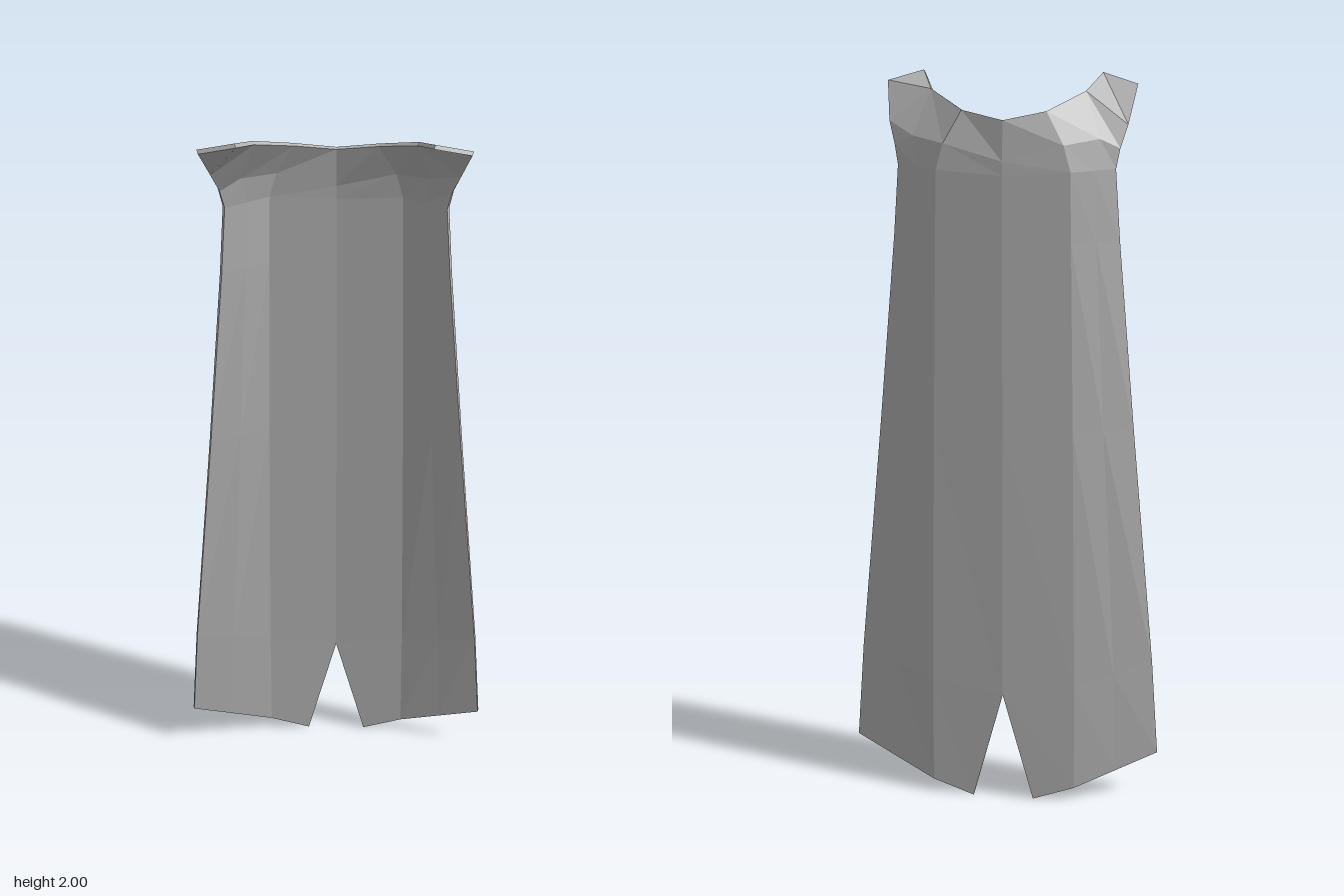
import * as THREE from 'three';

const THICKNESS = 0.011;

// Back surface of the +x half, bottom to top; each row runs centre, mid, shoulder, edge.
const ROWS = [
  [[0.085, 0, -0.104], [0.2, 0.04, -0.098], [0.315, 0.0875, -0.066], [0.43, 0.135, -0.034]],
  [[0, 0.33, -0.113], [0.197, 0.36, -0.1], [0.303, 0.39, -0.067], [0.407, 0.42, -0.034]],
  [[0, 1.1, -0.114], [0.183, 1.1, -0.101], [0.261, 1.1, -0.068], [0.338, 1.1, -0.034]],
  [[0, 1.6, -0.114], [0.172, 1.6, -0.102], [0.232, 1.6, -0.068], [0.29, 1.6, -0.034]],
  [[0, 1.77, -0.114], [0.168, 1.78, -0.102], [0.223, 1.78, -0.068], [0.276, 1.78, -0.034]],
  [[0, 1.805, -0.113], [0.15, 1.845, -0.098], [0.235, 1.855, -0.045], [0.285, 1.83, -0.025]],
  [[0, 1.905, -0.105], [0.105, 1.925, -0.08], [0.195, 1.965, 0.005], [0.302, 1.885, 0]],
  [null, null, [0.23, 2.0, 0.105], [0.32, 1.975, 0.083]], // strap end
];

function buildShell() {
  const points = [], lookup = new Map(), quads = [];
  const vertex = (p, side) => {
    const key = [p[0] * side || 0, p[1], p[2]].join();
    if (!lookup.has(key)) {
      lookup.set(key, points.length);
      points.push(new THREE.Vector3(p[0] * side, p[1], p[2]));
    }
    return lookup.get(key);
  };

  // Mirrored quads, wound so the back faces outward
  for (const side of [1, -1]) {
    for (let r = 0; r < ROWS.length - 1; r++) {
      for (let c = 0; c < 3; c++) {
        const corners = [ROWS[r][c], ROWS[r + 1][c], ROWS[r + 1][c + 1], ROWS[r][c + 1]];
        if (corners.some((p) => !p)) continue;
        const quad = corners.map((p) => vertex(p, side));
        quads.push(side > 0 ? quad : quad.reverse());
      }
    }
  }

  // Inner surface, offset along averaged normals
  const normals = points.map(() => new THREE.Vector3());
  for (const q of quads) {
    const d1 = points[q[2]].clone().sub(points[q[0]]);
    const d2 = points[q[3]].clone().sub(points[q[1]]);
    const n = d1.cross(d2).normalize();
    q.forEach((i) => normals[i].add(n));
  }
  const inner = points.map((p, i) => p.clone().addScaledVector(normals[i].normalize(), -THICKNESS));

  const positions = [];
  const addQuad = (a, b, c, d) => {
    for (const v of [a, b, c, a, c, d]) positions.push(v.x, v.y, v.z);
  };
  const edges = new Set();
  for (const q of quads) {
    addQuad(...q.map((i) => points[i]));
    addQuad(...[q[0], q[3], q[2], q[1]].map((i) => inner[i]));
    q.forEach((i, k) => edges.add(`${i}_${q[(k + 1) % 4]}`));
  }

  // Rim closes every open border edge
  for (const edge of edges) {
    const [a, b] = edge.split('_').map(Number);
    if (!edges.has(`${b}_${a}`)) addQuad(points[b], points[a], inner[a], inner[b]);
  }

  const geometry = new THREE.BufferGeometry();
  geometry.setAttribute('position', new THREE.Float32BufferAttribute(positions, 3));
  geometry.computeVertexNormals();
  return geometry;
}

export function createModel() {
  const group = new THREE.Group();
  group.name = 'cape';
  const cloth = new THREE.MeshStandardMaterial({ color: 0xb4b4b4, flatShading: true });
  cloth.name = 'grey cloth';
  const cape = new THREE.Mesh(buildShell(), cloth);
  cape.name = 'capeCloth';
  group.add(cape);
  return group;
}
